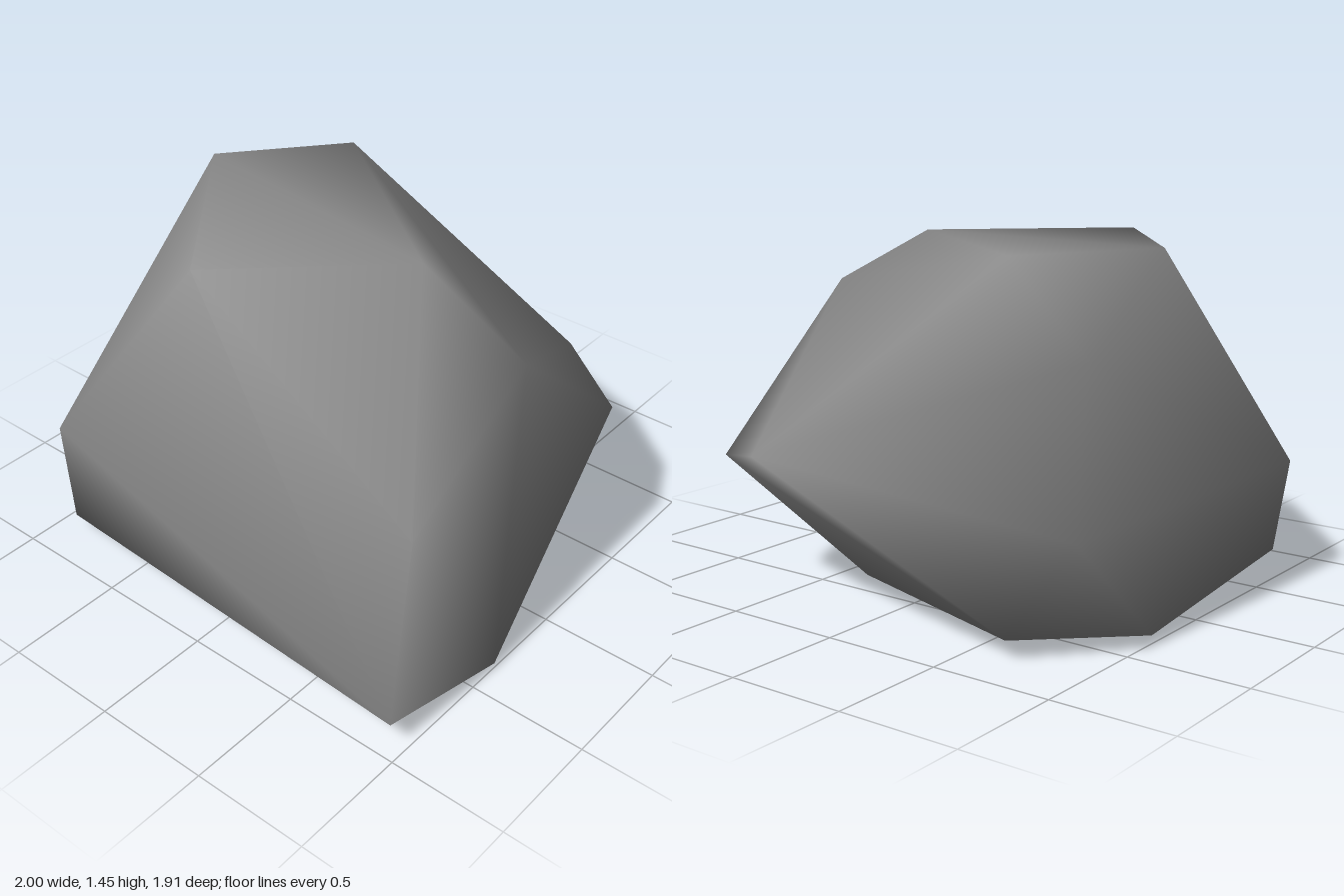
import * as THREE from 'three';
import { ConvexGeometry } from 'three/addons/geometries/ConvexGeometry.js';
import { mergeVertices } from 'three/addons/utils/BufferGeometryUtils.js';

const point = (x, y, z) => new THREE.Vector3(x, y, z);

// Boulder body: corners of the rough block, wrapped in a hull
const frontFoot = point(-0.91, 0.07, 0.82);
const backSide = point(-0.945, 0.48, -0.76);
const backFoot = point(-0.67, 0.08, -0.8);
const spur = point(-1, 0.035, -0.33);

const corners = [
  // top
  point(-0.9, 1.45, -0.13), point(-0.53, 1.44, -0.61),
  point(0.34, 1.435, 0.02), point(-0.3, 1.435, 0.62),
  // shoulders
  point(0.84, 1.19, 0.03), point(0.91, 0.86, 0.79), point(-0.91, 1.1, -0.63),
  // waist
  point(-0.99, 0.48, 0.79), point(0.43, 0.63, -0.96), point(0.78, 0.55, -0.76), backSide,
  // foot
  point(0.95, 0.12, 0.95), point(1, 0.025, 0.36), point(0.39, 0.002, -0.34), frontFoot, backFoot,
];

function boulderGeometry() {
  const hull = new ConvexGeometry(corners).getAttribute('position');
  const isSpurBase = (v) => [frontFoot, backSide, backFoot].some((p) => p.distanceTo(v) < 1e-4);
  const triangles = [];
  for (let i = 0; i < hull.count; i += 3) {
    const [a, b, c] = [0, 1, 2].map((k) => new THREE.Vector3().fromBufferAttribute(hull, i + k));
    // Pull the low side face out to a blunt spur
    if ([a, b, c].every(isSpurBase)) triangles.push(a, b, spur, b, c, spur, c, a, spur);
    else triangles.push(a, b, c);
  }
  // Weld the corners so the shading runs smoothly over the whole stone
  const geometry = mergeVertices(new THREE.BufferGeometry().setFromPoints(triangles));
  geometry.computeVertexNormals();
  return geometry;
}

export function createModel() {
  const stone = new THREE.MeshStandardMaterial({ color: 0x888888 });
  stone.name = 'stone grey';

  const boulder = new THREE.Mesh(boulderGeometry(), stone);
  boulder.name = 'boulder';

  const model = new THREE.Group();
  model.name = 'rock';
  model.add(boulder);
  return model;
}
